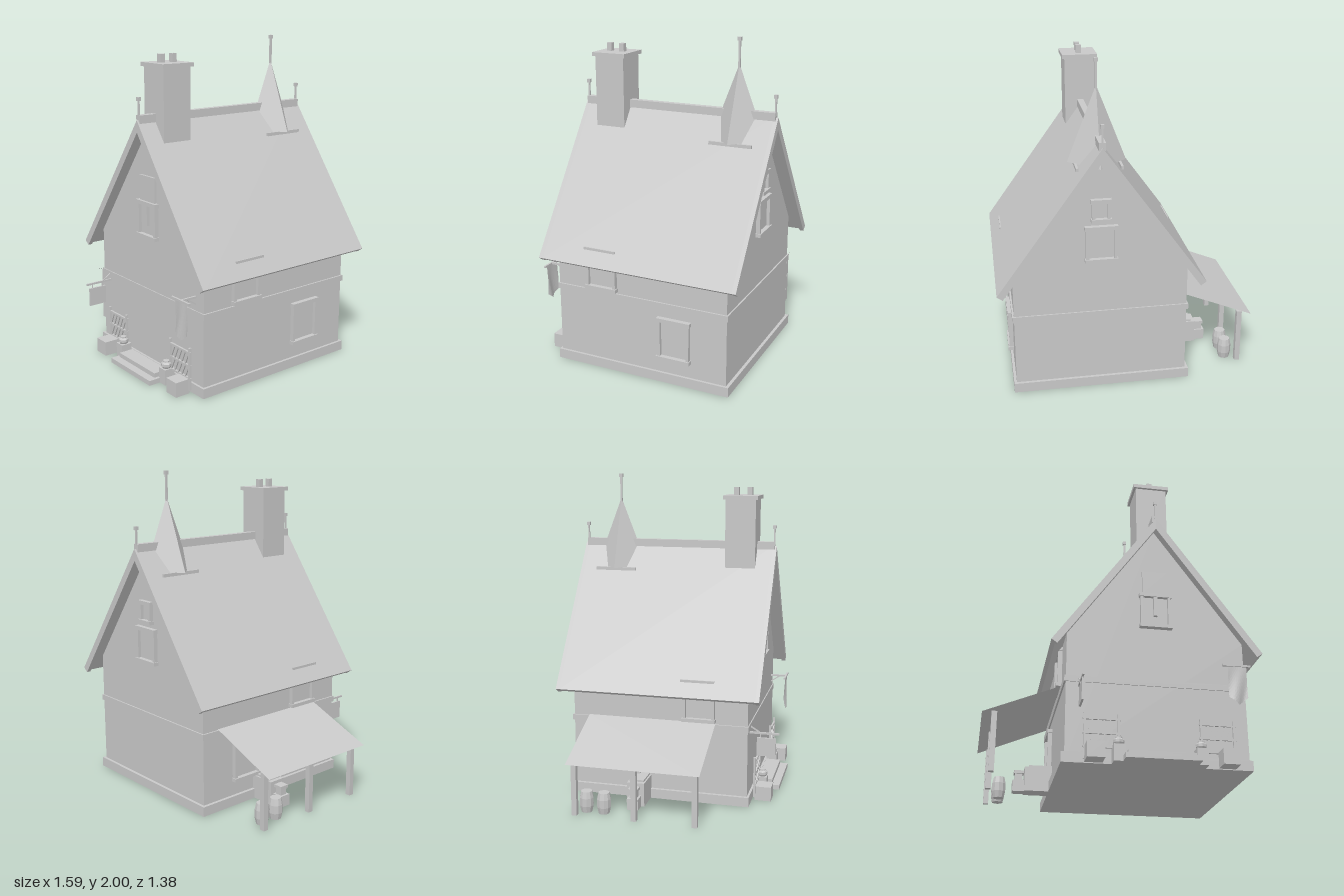
import * as THREE from 'three';

const grey = new THREE.MeshStandardMaterial({ color: 0xc8c8c8, flatShading: true });
grey.name = 'plain grey';
const greySheet = grey.clone();
greySheet.side = THREE.DoubleSide;

const CX = 0.172, WALL_HALF = 0.522, BACK = -0.603, FRONT = 0.508;
const APEX = 1.55, SLOPE = 1.39, EAVE = 0.618;

export function createModel() {
  const model = new THREE.Group();
  model.name = 'house';

  const add = (name, geometry, x = 0, y = 0, z = 0, parent = model, material = grey) => {
    const mesh = new THREE.Mesh(geometry, material);
    mesh.name = name;
    mesh.position.set(x, y, z);
    parent.add(mesh);
    return mesh;
  };
  // box given by its limits on each axis
  const box = (name, x0, x1, y0, y1, z0, z1, parent = model) =>
    add(name, new THREE.BoxGeometry(x1 - x0, y1 - y0, z1 - z0),
      (x0 + x1) / 2, (y0 + y1) / 2, (z0 + z1) / 2, parent);
  // square bar between two points
  const bar = (name, a, b, w, parent = model) => {
    const p = new THREE.Vector3(...a), q = new THREE.Vector3(...b);
    const mesh = add(name, new THREE.BoxGeometry(w, w, p.distanceTo(q)), 0, 0, 0, parent);
    mesh.position.copy(p).add(q).multiplyScalar(0.5);
    mesh.lookAt(q);
    return mesh;
  };
  const extrude = (name, points, z0, z1) => {
    const shape = new THREE.Shape(points.map(([x, y]) => new THREE.Vector2(x, y)));
    return add(name, new THREE.ExtrudeGeometry(shape, { depth: z1 - z0, bevelEnabled: false }), CX, 0, z0);
  };

  // walls, plinth and floor band
  const wallTop = 0.775;
  extrude('walls', [[-WALL_HALF, 0], [WALL_HALF, 0], [WALL_HALF, wallTop], [0, wallTop + WALL_HALF * SLOPE], [-WALL_HALF, wallTop]], BACK, FRONT);
  box('plinth', -0.37, 0.71, 0, 0.06, -0.622, 0.522);
  box('floorBand', -0.36, 0.704, 0.472, 0.508, -0.612, 0.514);

  // roof slab and barge boards share one chevron section
  const chevron = (name, t, z0, z1) => {
    const len = Math.hypot(1, SLOPE), nx = t * SLOPE / len, ny = t / len;
    const eaveY = APEX - EAVE * SLOPE;
    extrude(name, [[0, APEX], [-EAVE, eaveY], [-EAVE + nx, eaveY - ny], [0, APEX - t * len],
      [EAVE - nx, eaveY - ny], [EAVE, eaveY]], z0, z1);
  };
  chevron('roof', 0.028, -0.665, 0.565);
  chevron('frontBargeBoard', 0.042, 0.562, 0.588);
  chevron('backBargeBoard', 0.042, -0.69, -0.664);
  box('ridgeCap', CX - 0.02, CX + 0.02, 1.53, 1.578, -0.677, 0.577);
  for (const z of [0.573, -0.673]) {
    box('finialPole', CX - 0.005, CX + 0.005, 1.56, 1.67, z - 0.005, z + 0.005);
    box('finialKnob', CX - 0.01, CX + 0.01, 1.66, 1.682, z - 0.01, z + 0.01);
  }

  // spire with its pole
  add('spire', new THREE.ConeGeometry(0.172, 0.445, 4), CX, 1.6225, -0.443);
  box('spirePole', CX - 0.006, CX + 0.006, 1.82, 1.985, -0.449, -0.437);
  box('spireKnob', CX - 0.011, CX + 0.011, 1.978, 2, -0.454, -0.432);

  // bars lying on both roof slopes
  for (const s of [-1, 1]) {
    const hi = CX + s * 0.13, lo = CX + s * 0.557;
    box('upperRoofBar', hi - 0.007, hi + 0.007, 1.382, 1.402, -0.578, -0.31);
    box('lowerRoofBar', lo - 0.004, lo + 0.004, 0.772, 0.787, 0.095, 0.305);
  }

  // chimney
  box('chimney', CX - 0.097, CX + 0.097, 1.4, 1.85, 0.272, 0.465);
  box('chimneyCap', CX - 0.112, CX + 0.112, 1.846, 1.87, 0.257, 0.48);
  for (const z of [0.412, 0.327]) box('chimneyPot', CX - 0.016, CX + 0.016, 1.87, 1.92, z - 0.016, z + 0.016);

  // framed window built facing +z, then turned onto its wall
  const makeWindow = (name, w, h, x, y, z, turn) => {
    const g = new THREE.Group();
    g.name = name;
    const a = w / 2, f = 0.024, d = 0.026;
    box('jamb', -a + 0.006, -a + f, 0, h, -0.01, d, g);
    box('jamb', a - f, a - 0.006, 0, h, -0.01, d, g);
    box('lintel', -a, a, h - f, h, -0.01, d + 0.004, g);
    box('sill', -a, a, 0, 0.022, -0.01, d + 0.008, g);
    box('pane', -a + f, a - f, 0.02, h - f, -0.003, 0.006, g);
    g.position.set(x, y, z);
    g.rotation.y = turn;
    model.add(g);
  };
  makeWindow('frontGableWindow', 0.195, 0.225, CX, 0.835, FRONT, 0);
  makeWindow('backGableWindow', 0.195, 0.225, CX, 0.835, BACK, Math.PI);
  makeWindow('backAtticWindow', 0.12, 0.14, CX, 1.085, BACK, Math.PI);
  for (const s of [-1, 1]) {
    const x = CX + s * WALL_HALF;
    makeWindow('lowerSideWindow', 0.215, 0.265, x, 0.152, -0.273, s * Math.PI / 2);
    makeWindow('upperSideWindow', 0.21, 0.25, x, 0.52, 0.205, s * Math.PI / 2);
  }
  box('frontHatch', 0.095, 0.247, 1.06, 1.212, FRONT, FRONT + 0.014);
  box('windowBar', 0.16, 0.182, 0.912, 1.036, FRONT, FRONT + 0.026);

  // front steps
  box('lowerStep', -0.04, 0.38, 0, 0.03, 0.5, 0.667);
  box('upperStep', -0.018, 0.36, 0.03, 0.058, 0.5, 0.618);

  // trellises, planters and pots beside the steps
  const trellis = (x0, x1) => {
    const g = new THREE.Group(), z = 0.537;
    g.name = 'trellis';
    model.add(g);
    for (const x of [x0 + 0.01, x1 - 0.01]) box('trellisPost', x - 0.006, x + 0.006, 0.02, 0.28, z - 0.007, z + 0.007, g);
    for (const y of [0.09, 0.168, 0.25]) box('trellisRail', x0, x1, y - 0.006, y + 0.006, z - 0.006, z + 0.006, g);
    for (let i = 0; i < 5; i++) {
      const x = x0 + 0.02 + i * 0.034;
      bar('trellisSlat', [x, 0.17, z], [x + 0.035, 0.25, z], 0.008, g);
      bar('trellisSlat', [x, 0.09, z], [x + 0.035, 0.165, z], 0.008, g);
    }
  };
  trellis(-0.255, -0.045);
  trellis(0.402, 0.612);
  box('leftPlanter', -0.245, -0.145, 0, 0.09, 0.54, 0.642);
  box('rightPlanter', 0.505, 0.6, 0, 0.09, 0.54, 0.635);
  const potProfile = [[0, 0], [0.024, 0], [0.031, 0.012], [0.031, 0.028], [0.02, 0.038], [0.02, 0.046], [0, 0.048]];
  for (const x of [-0.06, 0.402]) {
    box('potStand', x - 0.032, x + 0.032, 0, 0.096, 0.522, 0.592);
    add('pot', new THREE.LatheGeometry(potProfile.map(p => new THREE.Vector2(...p)), 8), x, 0.096, 0.56);
  }

  // hanging sign on a bracket
  const sx = -0.275;
  box('signArm', sx - 0.005, sx + 0.005, 0.445, 0.457, 0.5, 0.69);
  bar('signBrace', [sx, 0.495, 0.505], [sx, 0.455, 0.57], 0.007);
  box('signBoard', sx - 0.006, sx + 0.006, 0.307, 0.422, 0.553, 0.67);
  for (const z of [0.575, 0.648]) box('signHanger', sx - 0.003, sx + 0.003, 0.42, 0.45, z - 0.003, z + 0.003);

  // banner with a pointed, rippled cloth
  box('bannerRod', 0.535, 0.7, 0.584, 0.596, 0.607, 0.619);
  box('bannerArm', 0.614, 0.626, 0.584, 0.596, 0.5, 0.615);
  bar('bannerBrace', [0.62, 0.545, 0.505], [0.62, 0.588, 0.57], 0.007);
  const cloth = new THREE.PlaneGeometry(0.11, 1, 10, 10);
  const p = cloth.attributes.position;
  for (let i = 0; i < p.count; i++) {
    const x = p.getX(i), v = 0.5 - p.getY(i);
    const length = 0.235 - 0.045 * Math.abs(x) / 0.055;
    p.setY(i, -v * length);
    p.setZ(i, 0.01 * v * Math.sin(x * 60 + v * 3));
  }
  cloth.computeVertexNormals();
  add('bannerCloth', cloth, 0.62, 0.588, 0.613, model, greySheet);

  // lean-to canopy: a thin sheet on three posts
  const sheet = new THREE.PlaneGeometry(Math.hypot(0.44, 0.18), 0.81);
  sheet.rotateX(-Math.PI / 2).rotateZ(Math.atan2(0.18, 0.44));
  add('canopy', sheet, -0.58, 0.427, -0.095, model, greySheet);
  for (const z of [-0.47, -0.1, 0.27]) box('canopyPost', -0.745, -0.713, 0, 0.352, z - 0.016, z + 0.016);

  // goods under the canopy
  const barrelProfile = [[0, 0], [0.034, 0], [0.043, 0.04], [0.043, 0.09], [0.034, 0.13], [0, 0.13]];
  for (const z of [-0.42, -0.31]) {
    add('barrel', new THREE.LatheGeometry(barrelProfile.map(q => new THREE.Vector2(...q)), 10), -0.658, 0, z);
  }
  box('crate', -0.585, -0.515, 0, 0.07, -0.19, -0.12);
  box('crateJar', -0.57, -0.525, 0.07, 0.115, -0.178, -0.133);
  box('crateJarLid', -0.577, -0.518, 0.112, 0.13, -0.185, -0.126);
  box('sideChest', -0.515, -0.352, 0, 0.148, -0.21, -0.1);
  box('sideChestLid', -0.49, -0.352, 0.148, 0.16, -0.2, -0.11);

  return model;
}
